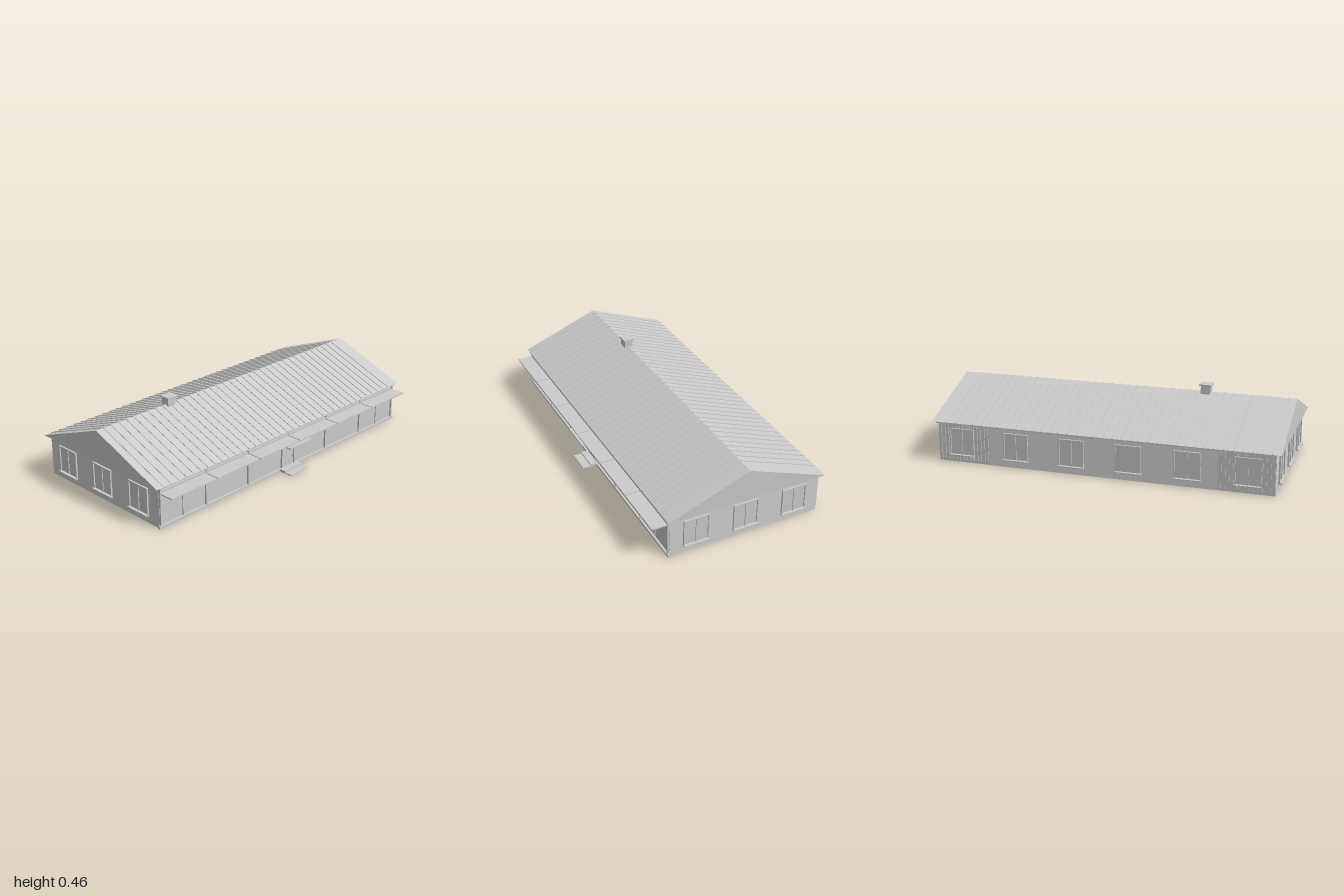
import * as THREE from 'three';

const wallGrey = new THREE.MeshStandardMaterial({ color: 0xcccccc });
wallGrey.name = 'light grey';

const EAVE = 0.235, RIDGE = 0.413, RIDGE_Z = -0.04;
const FRONT_EAVE = 0.425, BACK_EAVE = -0.51;
const WALL_X = 0.97, FRONT = 0.405, BACK = -0.485;

// Box given by its minimum and maximum on each axis
function box(parent, name, x0, x1, y0, y1, z0, z1) {
  const mesh = new THREE.Mesh(new THREE.BoxGeometry(x1 - x0, y1 - y0, z1 - z0), wallGrey);
  mesh.position.set((x0 + x1) / 2, (y0 + y1) / 2, (z0 + z1) / 2);
  mesh.name = name;
  parent.add(mesh);
  return mesh;
}

function group(parent, name) {
  const g = new THREE.Group();
  g.name = name;
  parent.add(g);
  return g;
}

// Two-pane window facing +z, centred on x = 0, with its sill at the bottom
function makeWindow(parent) {
  const g = group(parent, 'window');
  const w = 0.074, y0 = 0.04, y1 = 0.2, t = 0.007;
  box(g, 'glass', -w, w, y0, y1, 0, 0.003);
  for (const s of [-1, 1]) {
    const c = s * (w - t / 2);
    box(g, 'sideFrame', c - t / 2, c + t / 2, y0, y1, 0, 0.01);
  }
  box(g, 'topFrame', -w, w, y1 - t, y1, 0, 0.01);
  box(g, 'mullion', -0.0035, 0.0035, y0, y1, 0, 0.008);
  box(g, 'sill', -w - 0.002, w + 0.002, y0, y0 + t, 0, 0.02);
  return g;
}

// Lapped horizontal boards facing +z, each leaning out at its lower edge
function siding(parent, x0, x1) {
  const g = group(parent, 'horizontalSiding'), rows = 7, h = EAVE / rows;
  const profile = new THREE.Shape([[0, 0], [0.003, 0], [0.0005, h], [0, h]].map(p => new THREE.Vector2(...p)));
  const geo = new THREE.ExtrudeGeometry(profile, { depth: x1 - x0, bevelEnabled: false });
  geo.rotateY(-Math.PI / 2);
  geo.translate(x1, 0, 0);
  for (let i = 0; i < rows; i++) {
    const board = new THREE.Mesh(geo, wallGrey);
    board.name = 'board';
    board.position.y = i * h;
    g.add(board);
  }
}

function buildRoof(parent) {
  const g = group(parent, 'roof');
  // Solid gabled prism along x
  const shape = new THREE.Shape([
    new THREE.Vector2(-FRONT_EAVE, EAVE), new THREE.Vector2(-BACK_EAVE, EAVE), new THREE.Vector2(-RIDGE_Z, RIDGE)]);
  const geo = new THREE.ExtrudeGeometry(shape, { depth: 2, bevelEnabled: false });
  geo.rotateY(Math.PI / 2);
  geo.translate(-1, 0, 0);
  const prism = new THREE.Mesh(geo, wallGrey);
  prism.name = 'gableRoof';
  g.add(prism);
  // Standing seams down both slopes
  for (const edge of [FRONT_EAVE, BACK_EAVE]) {
    const dz = edge - RIDGE_Z, dy = EAVE - RIDGE;
    const seam = new THREE.BoxGeometry(0.003, 0.005, Math.hypot(dz, dy) - 0.002);
    for (let i = 0; i < 37; i++) {
      const mesh = new THREE.Mesh(seam, wallGrey);
      mesh.name = 'roofSeam';
      mesh.position.set(-0.952 + i * 0.0515, (EAVE + RIDGE) / 2 + 0.001, (edge + RIDGE_Z) / 2);
      mesh.rotation.x = -Math.atan(dy / dz);
      g.add(mesh);
    }
  }
  // Chimney and its cap
  box(g, 'chimney', -0.515, -0.46, 0.38, 0.45, -0.068, -0.018);
  box(g, 'chimneyCap', -0.523, -0.452, 0.45, 0.459, -0.074, -0.01);
  // Eave boards
  box(g, 'frontEaveBoard', -0.975, 0.975, 0.225, EAVE, FRONT, 0.421);
  box(g, 'backEaveBoard', -0.975, 0.975, 0.227, EAVE, -0.507, BACK);
}

function buildFront(parent) {
  const g = group(parent, 'glazedFront');
  box(g, 'baseRail', -0.98, 0.98, 0, 0.014, FRONT, 0.417);
  box(g, 'topRail', -0.97, 0.97, 0.2, 0.212, FRONT, 0.413);
  // Main posts and slim intermediate mullions
  for (const x of [-0.965, -0.645, -0.325, 0.325, 0.645, 0.965])
    box(g, 'post', x - 0.005, x + 0.005, 0, 0.225, FRONT, 0.415);
  for (const x of [-0.81, 0.81]) box(g, 'mullion', x - 0.002, x + 0.002, 0.014, 0.2, FRONT, 0.411);
  box(g, 'middlePost', -0.004, 0.004, 0.165, 0.225, FRONT, 0.414);
  // Canopy slabs with narrow joints
  const joints = [-0.97, -0.648, -0.325, -0.002, 0.321, 0.645, 0.967];
  for (let i = 0; i < 6; i++)
    box(g, 'canopySlab', joints[i] + 0.003, joints[i + 1] - 0.003, 0.194, 0.201, FRONT, 0.5);
  // Door with frame, handle, canopy and steps
  const d = group(g, 'entrance');
  box(d, 'door', -0.05, 0.046, 0.014, 0.165, FRONT, 0.409);
  for (const x of [-0.052, 0.048]) box(d, 'doorJamb', x - 0.004, x + 0.004, 0.01, 0.168, FRONT, 0.416);
  box(d, 'doorHead', -0.056, 0.052, 0.162, 0.169, FRONT, 0.416);
  box(d, 'doorHandle', 0.034, 0.038, 0.06, 0.072, 0.409, 0.416);
  box(d, 'doorCanopy', -0.097, 0.093, 0.178, 0.185, FRONT, 0.512);
  box(d, 'lowerStep', -0.072, 0.07, 0.002, 0.008, 0.415, 0.5);
  box(d, 'upperStep', -0.072, 0.07, 0.006, 0.017, 0.412, 0.453);
}

function buildBack(parent) {
  const g = group(parent, 'backWall');
  g.position.z = BACK;
  g.rotation.y = Math.PI;
  siding(g, -0.66, 0.66);
  // Vertical boarding in the end bays
  for (const s of [-1, 1]) {
    const bay = group(g, 'verticalBoarding');
    for (let i = 0; i < 14; i++) {
      const c = s * (0.672 + i * 0.0222);
      box(bay, 'verticalBoard', c - 0.0085, c + 0.0085, 0.015, 0.227, 0, 0.005);
    }
  }
  for (let i = 0; i < 6; i++) {
    const win = makeWindow(g);
    win.position.set(-0.825 + i * 0.33, 0, 0.002);
  }
}

function buildSide(parent, side) {
  const g = group(parent, side > 0 ? 'leftWall' : 'rightWall');
  g.position.x = side * WALL_X;
  g.rotation.y = side * Math.PI / 2;
  const a = -side * FRONT, b = -side * BACK;
  siding(g, Math.min(a, b), Math.max(a, b));
  for (const z of [0.252, -0.04, -0.335]) makeWindow(g).position.set(-side * z, 0, 0.002);
}

export function createModel() {
  const model = new THREE.Group();
  model.name = 'longHouse';
  box(model, 'walls', -WALL_X, WALL_X, 0, EAVE, BACK, FRONT);
  buildRoof(model);
  buildFront(model);
  buildBack(model);
  for (const side of [-1, 1]) buildSide(model, side);
  return model;
}
